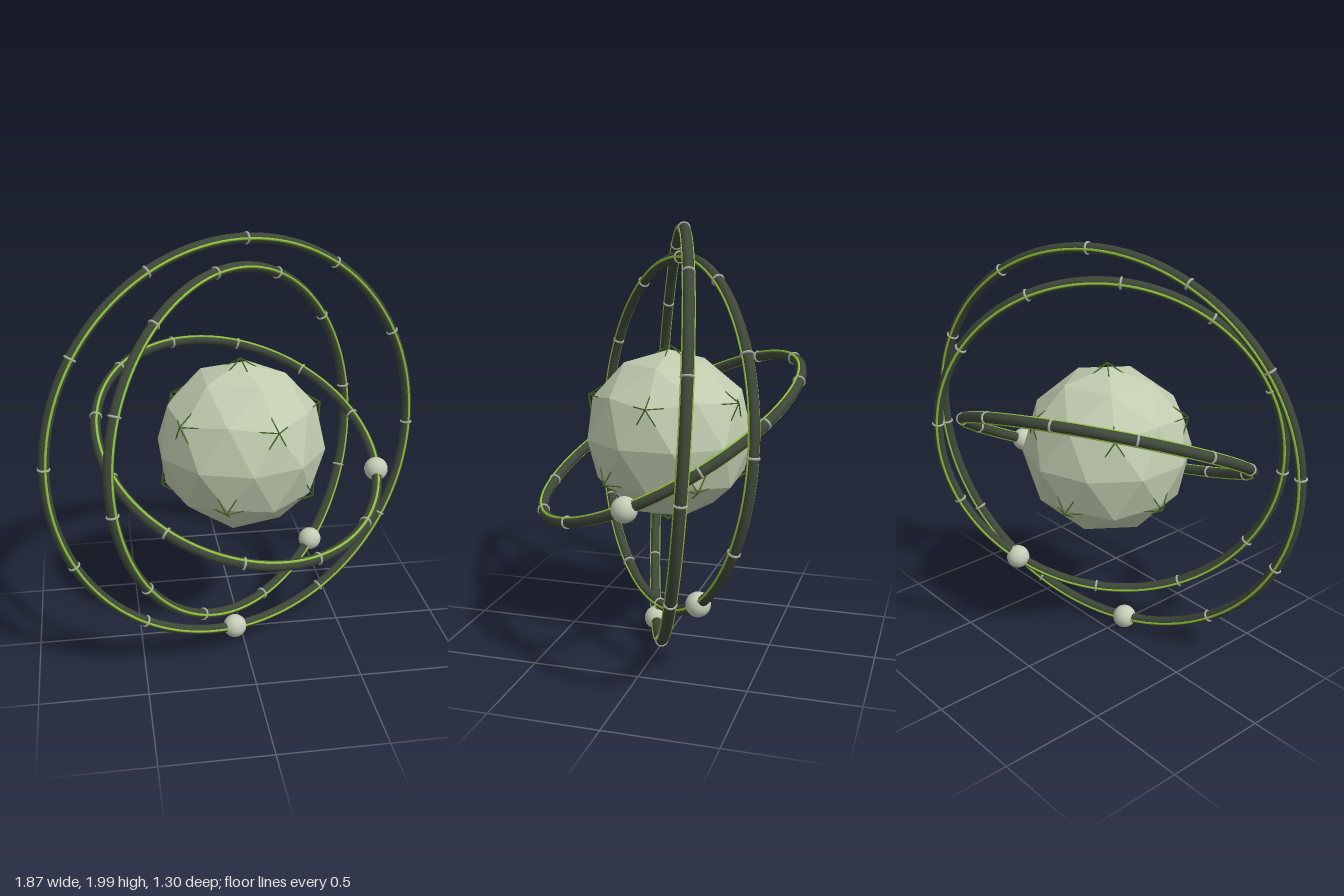
import * as THREE from 'three';

const CENTER_Y = 1.018;
const UP = new THREE.Vector3(0, 1, 0);

const paint = (name, color, flatShading = false) => {
  const m = new THREE.MeshStandardMaterial({ color, flatShading });
  m.name = name;
  return m;
};

const mesh = (name, geometry, material, parent) => {
  const m = new THREE.Mesh(geometry, material);
  m.name = name;
  parent.add(m);
  return m;
};

export function createModel() {
  const stone = paint('pale sage', 0xc0cbaf, true);
  const pearl = paint('pearl green', 0xc3ccb6);
  const dark = paint('dark moss', 0x3e4738);
  const lime = paint('lime', 0x8fc33c);
  const leaf = paint('leaf green', 0x456420);
  const metal = paint('grey metal', 0xaab0a4);

  const model = new THREE.Group();
  model.name = 'orbitalSphere';
  const body = new THREE.Group();
  body.name = 'body';
  body.position.y = CENTER_Y;
  model.add(body);

  // Faceted core, turned so that one corner points straight up
  const coreGeo = new THREE.IcosahedronGeometry(0.4, 1);
  coreGeo.rotateX(-Math.atan((1 + Math.sqrt(5)) / 2));
  coreGeo.rotateY(Math.PI / 2);
  mesh('core', coreGeo, stone, body);

  // Thin icosahedral cage whose corners poke out of the core
  const cage = new THREE.Group();
  cage.name = 'cage';
  body.add(cage);
  const cageR = 0.422;
  const corners = [new THREE.Vector3(0, cageR, 0), new THREE.Vector3(0, -cageR, 0)];
  for (let i = 0; i < 5; i++) {
    const a = (i * Math.PI * 2) / 5;
    const p = new THREE.Vector3(2 * Math.cos(a), 1, 2 * Math.sin(a)).setLength(cageR);
    corners.push(p, p.clone().negate());
  }
  corners.forEach((a, i) => corners.slice(i + 1).forEach((b) => {
    const length = a.distanceTo(b);
    if (length > cageR * 1.2) return;
    const rod = mesh('cageRod', new THREE.CylinderGeometry(0.003, 0.003, length, 6), leaf, cage);
    rod.position.copy(a).add(b).multiplyScalar(0.5);
    rod.quaternion.setFromUnitVectors(UP, b.clone().sub(a).normalize());
  }));

  // Orbit rings: radius, plane normal, direction of the bead
  const orbits = [
    ['innerOrbit', 0.69, [0.23, 0.868, 0.44], [0.66, -0.175, 0]],
    ['middleOrbit', 0.823, [0.64, 0.1, 0.762], [0.41, -0.675, -0.25]],
    ['outerOrbit', 0.957, [0.327, 0.065, 0.943], [-0.04, -0.955, 0.08]],
  ];
  const collarGeo = new THREE.TorusGeometry(0.0245, 0.0055, 8, 20);
  collarGeo.rotateX(Math.PI / 2);
  const beadGeo = new THREE.SphereGeometry(0.057, 32, 20);

  for (const [name, radius, normal, toBead] of orbits) {
    const orbit = new THREE.Group();
    orbit.name = name;
    const n = new THREE.Vector3(...normal).normalize();
    const u = new THREE.Vector3(...toBead).projectOnPlane(n).normalize();
    const v = n.clone().cross(u);
    orbit.quaternion.setFromRotationMatrix(new THREE.Matrix4().makeBasis(u, v, n));
    body.add(orbit);

    mesh('ringTube', new THREE.TorusGeometry(radius, 0.024, 14, 128), dark, orbit);
    // Glowing line on each flat side of the ring
    for (const side of [-1, 1]) {
      const line = mesh('ringLine', new THREE.TorusGeometry(radius, 0.0065, 8, 128), lime, orbit);
      line.position.z = side * 0.0215;
    }
    // Twelve evenly spaced collars
    for (let i = 0; i < 12; i++) {
      const a = (i * Math.PI) / 6;
      const collar = mesh('collar', collarGeo, metal, orbit);
      collar.position.set(radius * Math.cos(a), radius * Math.sin(a), 0);
      collar.rotation.z = a;
    }
    mesh('bead', beadGeo, pearl, orbit).position.x = radius;
  }
  return model;
}
